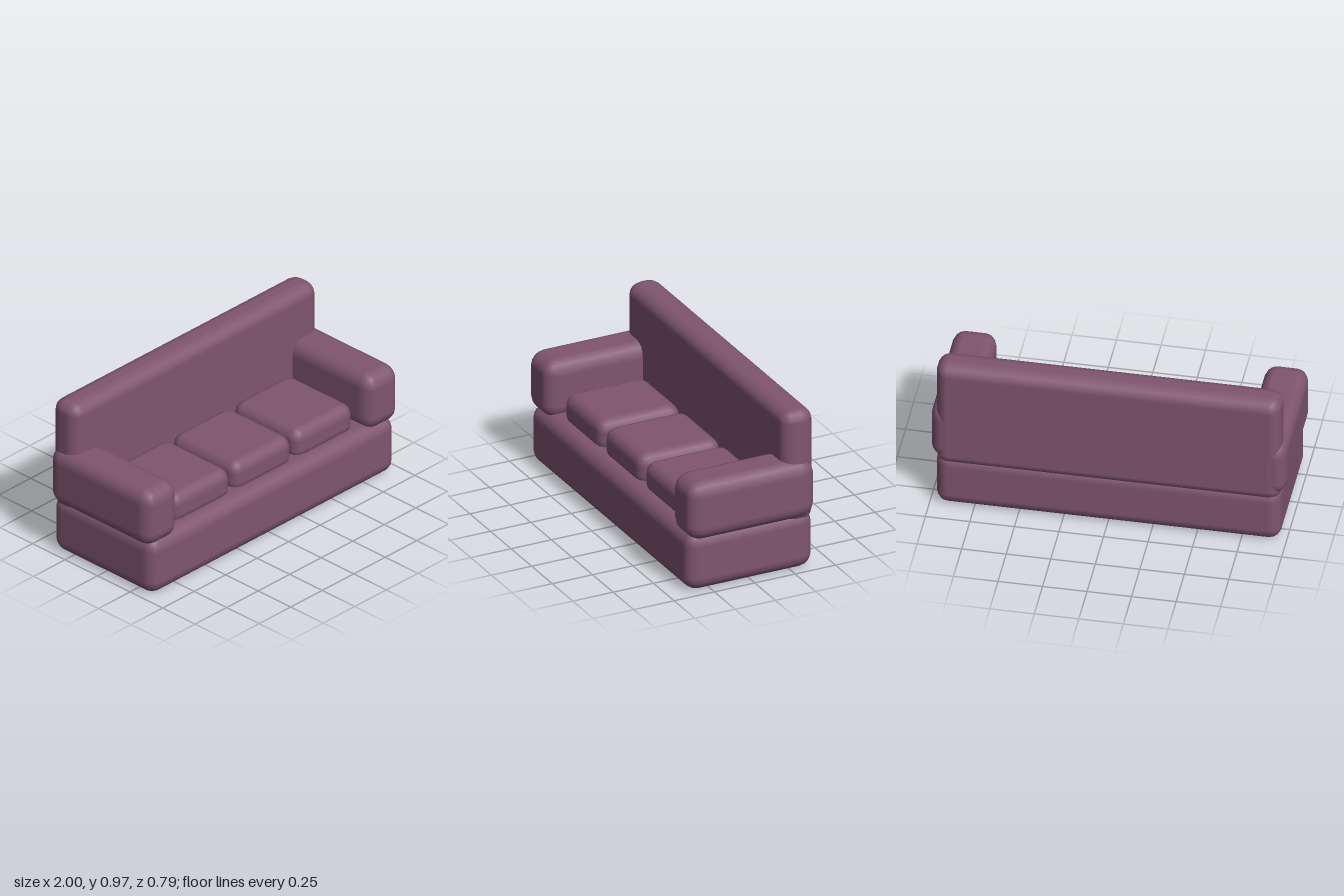
import * as THREE from 'three';
import { RoundedBoxGeometry } from 'three/addons/geometries/RoundedBoxGeometry.js';

const fabric = new THREE.MeshStandardMaterial({ color: 0x80566f });
fabric.name = 'plum fabric';

// Padded block between two corners, with its own rounding radius on each axis
function pad(name, [x0, y0, z0], [x1, y1, z1], [rx, ry, rz]) {
  const geometry = new RoundedBoxGeometry((x1 - x0) / rx, (y1 - y0) / ry, (z1 - z0) / rz, 2, 1);
  geometry.scale(rx, ry, rz);
  const mesh = new THREE.Mesh(geometry, fabric);
  mesh.name = name;
  mesh.position.set((x0 + x1) / 2, (y0 + y1) / 2, (z0 + z1) / 2);
  return mesh;
}

export function createModel() {
  const sofa = new THREE.Group();
  sofa.name = 'sofa';

  // Base block and backrest
  sofa.add(pad('base', [-0.97, 0, -0.39], [0.97, 0.352, 0.395], [0.07, 0.08, 0.08]));
  sofa.add(pad('backrest', [-0.97, 0.28, -0.395], [0.97, 0.967, -0.2], [0.07, 0.07, 0.08]));

  // Armrests, overhanging the base on both sides
  for (const [name, x] of [['leftArm', 0.875], ['rightArm', -0.875]]) {
    sofa.add(pad(name, [x - 0.125, 0.315, -0.39], [x + 0.125, 0.667, 0.395], [0.07, 0.085, 0.088]));
  }

  // Three seat cushions
  ['rightCushion', 'middleCushion', 'leftCushion'].forEach((name, i) => {
    const x = (i - 1) * 0.486;
    sofa.add(pad(name, [x - 0.232, 0.31, -0.195], [x + 0.232, 0.505, 0.316], [0.065, 0.07, 0.065]));
  });

  return sofa;
}
